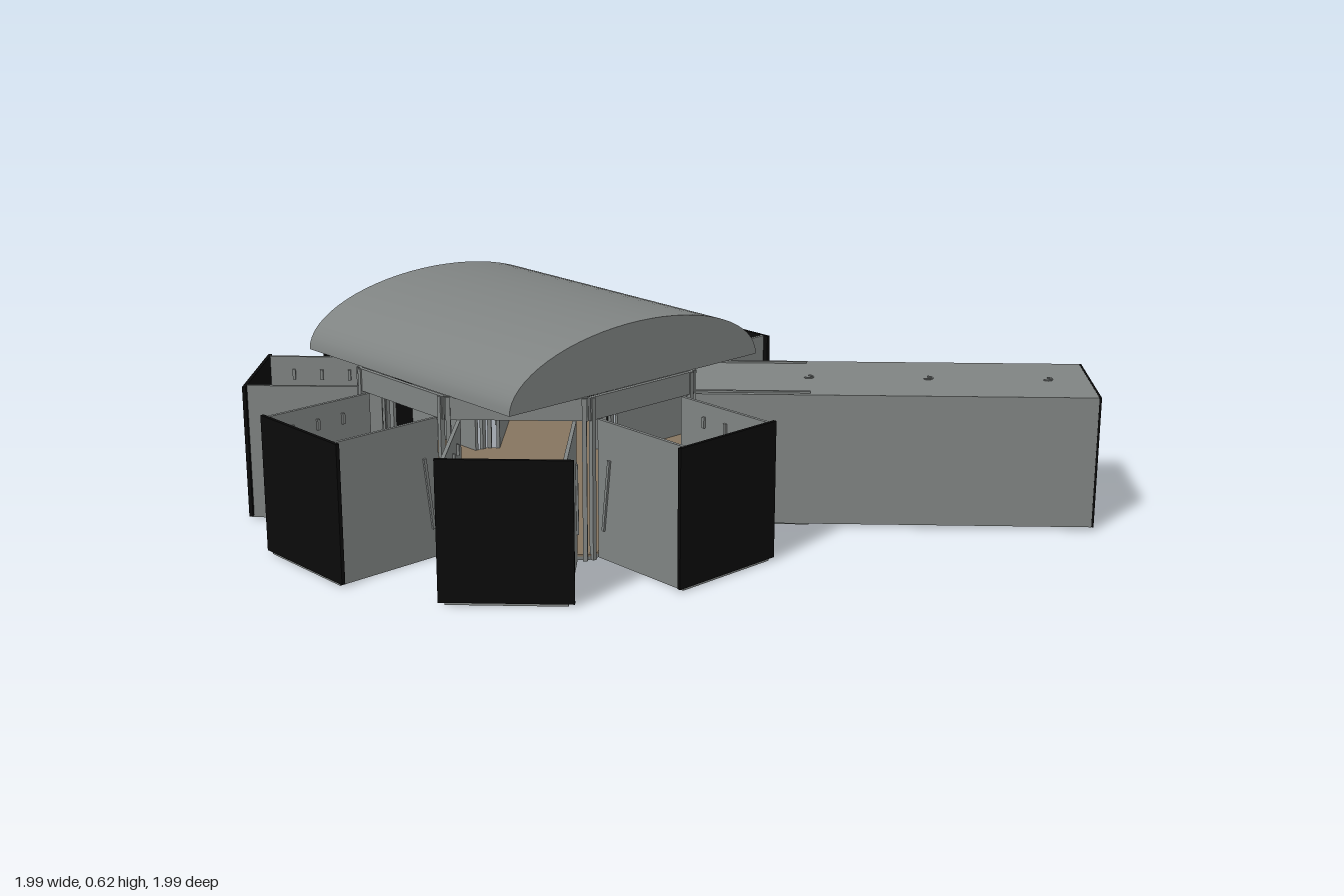
import * as THREE from 'three';
import { toCreasedNormals } from 'three/addons/utils/BufferGeometryUtils.js';

const mat = (name, color) => {
  const m = new THREE.MeshStandardMaterial({ color, side: THREE.DoubleSide });
  m.name = name;
  return m;
};

export function createModel() {
  const grey = mat('panel grey', 0x7f8382);
  const brown = mat('floor brown', 0x86755f);
  const black = mat('end black', 0x0a0a0a);

  const model = new THREE.Group();
  const hub = new THREE.Group();
  hub.name = 'hub';
  hub.position.set(-0.22, 0, -0.22);
  model.add(hub);

  const add = (parent, name, geometry, material, x = 0, y = 0, z = 0) => {
    const mesh = new THREE.Mesh(geometry, material);
    mesh.name = name;
    mesh.position.set(x, y, z);
    parent.add(mesh);
    return mesh;
  };
  const box = (parent, name, material, w, h, d, x, y, z) =>
    add(parent, name, new THREE.BoxGeometry(w, h, d), material, x, y, z);

  // Octagonal floor of the hub, base and covering
  const octagon = (h) => new THREE.CylinderGeometry(0.487, 0.487, h, 8).rotateY(Math.PI / 8);
  add(hub, 'hubBase', octagon(0.01), grey, 0, 0.005, 0);
  add(hub, 'hubFloor', octagon(0.005), brown, 0, 0.0125, 0);

  // Arched roof
  const arch = new THREE.Shape();
  arch.moveTo(0.44, 0.445);
  arch.absellipse(0, 0.445, 0.44, 0.17, 0, Math.PI, false, 0);
  arch.closePath();
  const roof = new THREE.ExtrudeGeometry(arch, { depth: 0.88, bevelEnabled: false, curveSegments: 16 });
  roof.translate(0, 0, -0.44);
  add(hub, 'roof', toCreasedNormals(roof, 0.6), grey);

  // Open doorway frame in each face of the octagon
  function addDoorway(arm) {
    box(arm, 'lintel', grey, 0.372, 0.062, 0.012, 0, 0.415, 0.45);
    for (const s of [-1, 1]) {
      box(arm, 'doorPost', grey, 0.012, 0.445, 0.014, s * 0.176, 0.2225, 0.453);
    }
  }

  // Short bay with open top
  function addBay(arm) {
    box(arm, 'bayBase', grey, 0.31, 0.01, 0.33, 0, 0.005, 0.608);
    box(arm, 'bayFloor', brown, 0.3, 0.005, 0.33, 0, 0.0125, 0.608);
    for (const s of [-1, 1]) {
      box(arm, 'bayWall', grey, 0.01, 0.372, 0.32, s * 0.15, 0.196, 0.61);
      // slanted brace on the outside of the wall
      const brace = box(arm, 'brace', grey, 0.006, 0.2, 0.008, s * 0.158, 0.18, 0.485);
      brace.rotation.x = 0.12;
      // small hooks along the inside of the wall
      for (const z of [0.54, 0.62, 0.7]) {
        box(arm, 'hook', grey, 0.008, 0.03, 0.008, s * 0.142, 0.33, z);
      }
    }
  }

  // Long covered corridor
  function addCorridor(arm) {
    const start = 0.45, end = 1.545, length = end - start, mid = (start + end) / 2;
    box(arm, 'corridorFloor', grey, 0.34, 0.008, length, 0, 0.012, mid);
    box(arm, 'corridorTop', grey, 0.34, 0.01, length, 0, 0.372, mid);
    for (const s of [-1, 1]) {
      box(arm, 'corridorWall', grey, 0.008, 0.368, length, s * 0.166, 0.193, mid);
    }
    box(arm, 'corridorEnd', black, 0.342, 0.369, 0.006, 0, 0.193, end + 0.002);
    // small curled hooks on top
    for (const z of [0.77, 1.1, 1.43]) {
      const ring = new THREE.TorusGeometry(0.013, 0.0025, 6, 12, Math.PI * 1.3);
      ring.rotateX(Math.PI / 2);
      add(arm, 'topHook', ring, grey, 0, 0.38, z);
    }
  }

  for (let i = 0; i < 8; i++) {
    const arm = new THREE.Group();
    arm.rotation.y = (i * Math.PI) / 4;
    arm.name = i === 1 ? 'corridor' : 'bay';
    hub.add(arm);
    addDoorway(arm);
    addBay(arm);
    if (i === 1) addCorridor(arm);
    else box(arm, 'bayEnd', black, 0.342, 0.375, 0.01, 0, 0.195, 0.773);
  }
  return model;
}
